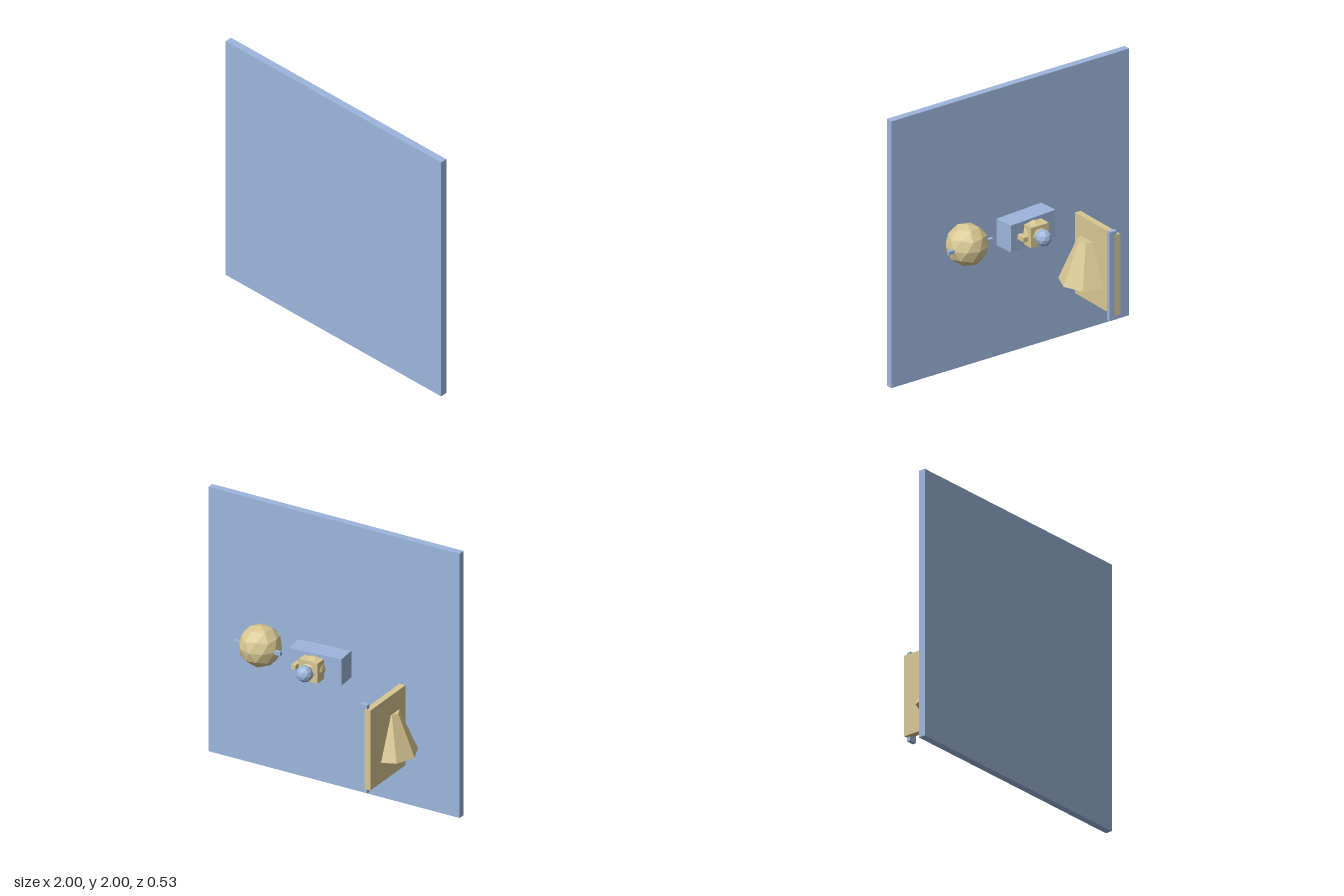
import * as THREE from 'three';

export function createModel() {
  const model = new THREE.Group();
  const blue = new THREE.MeshStandardMaterial({ color: 0x9db6dc, flatShading: true });
  const tan = new THREE.MeshStandardMaterial({ color: 0xd8c793, flatShading: true });

  const add = (name, geometry, material, x, y, z) => {
    const mesh = new THREE.Mesh(geometry, material);
    mesh.name = name;
    mesh.position.set(x, y, z);
    model.add(mesh);
    return mesh;
  };
  const box = (name, material, size, pos) =>
    add(name, new THREE.BoxGeometry(...size), material, ...pos);

  // Faceted ball with a corner of the icosahedron pointing up
  const ball = (name, material, r, pos) => {
    const g = new THREE.IcosahedronGeometry(r, 1);
    g.rotateZ(-Math.atan(2 / (1 + Math.sqrt(5))));
    return add(name, g, material, ...pos);
  };

  // Large square wall panel
  box('wallPanel', blue, [2, 2, 0.053], [0, 1, 0.238]);

  // Ball with a pin on either side
  ball('largeBall', tan, 0.152, [0.485, 1, 0.045]);
  for (const s of [-1, 1]) {
    box(s < 0 ? 'rightPin' : 'leftPin', blue, [0.08, 0.027, 0.027], [0.485 + s * 0.147, 1, 0.008]);
  }

  // Slightly turned block carrying the knob
  box('block', blue, [0.4, 0.2, 0.15], [0, 1, 0.029]).rotation.y = 0.08;
  box('knobCube', tan, [0.15, 0.15, 0.14], [0, 1, -0.06]);
  ball('knobBall', tan, 0.09, [0, 1, -0.062]);
  ball('knobTip', blue, 0.06, [0, 1, -0.174]);
  box('peg', tan, [0.035, 0.035, 0.13], [0.118, 1, -0.065]);

  // Upright board with an eight-sided tapered body through it
  box('board', tan, [0.047, 0.605, 0.46], [-0.555, 0.603, -0.035]);
  add('taperedBody', new THREE.CylinderGeometry(0.07, 0.2, 0.305, 8), tan, -0.535, 0.605, 0.057);

  // Rail along the free edge of the board
  box('edgeRail', blue, [0.06, 0.665, 0.03], [-0.522, 0.603, -0.246]).rotation.y = -0.05;

  return model;
}
